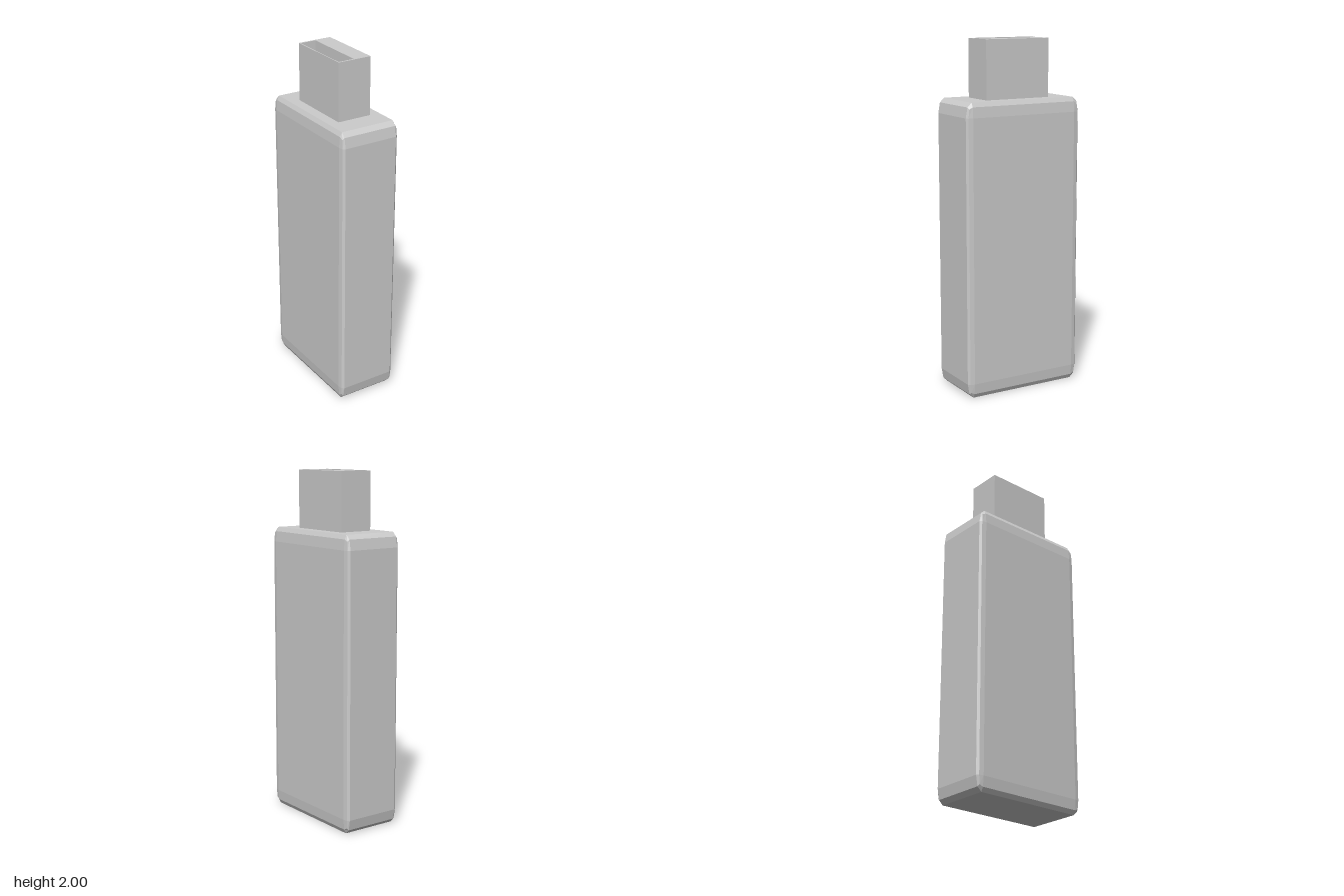
import * as THREE from 'three';
import { RoundedBoxGeometry } from 'three/addons/geometries/RoundedBoxGeometry.js';

const BODY = { width: 0.356, height: 1.67, depth: 0.724 };
const TOP = 2;

export function createModel() {
  const group = new THREE.Group();
  group.name = 'usbStick';
  const material = new THREE.MeshStandardMaterial({ color: 0xcccccc, flatShading: true });

  // Casing: bevelled cube stretched to size, so the bevel is 5% of each side
  const casingGeometry = new RoundedBoxGeometry(1, 1, 1, 1, 0.05);
  casingGeometry.scale(BODY.width, BODY.height, BODY.depth);
  casingGeometry.translate(0, BODY.height / 2, 0);
  casingGeometry.computeVertexNormals();
  const casing = new THREE.Mesh(casingGeometry, material);
  casing.name = 'casing';
  group.add(casing);

  // Plug: rectangular sleeve, solid on the left half, open slot on the right half
  const rectangle = (Type, x0, x1, z) => new Type([
    new THREE.Vector2(x0, -z), new THREE.Vector2(x1, -z),
    new THREE.Vector2(x1, z), new THREE.Vector2(x0, z),
  ]).closePath();
  const outline = rectangle(THREE.Shape, -0.1, 0.1, 0.2);
  outline.holes.push(rectangle(THREE.Path, -0.094, 0, 0.19));
  const plugBase = BODY.height - 0.02;
  const plugGeometry = new THREE.ExtrudeGeometry(outline, {
    depth: TOP - plugBase, bevelEnabled: false, steps: 1,
  });
  plugGeometry.rotateX(-Math.PI / 2);
  plugGeometry.translate(0, plugBase, 0);
  const plug = new THREE.Mesh(plugGeometry, material);
  plug.name = 'plug';
  group.add(plug);

  return group;
}
